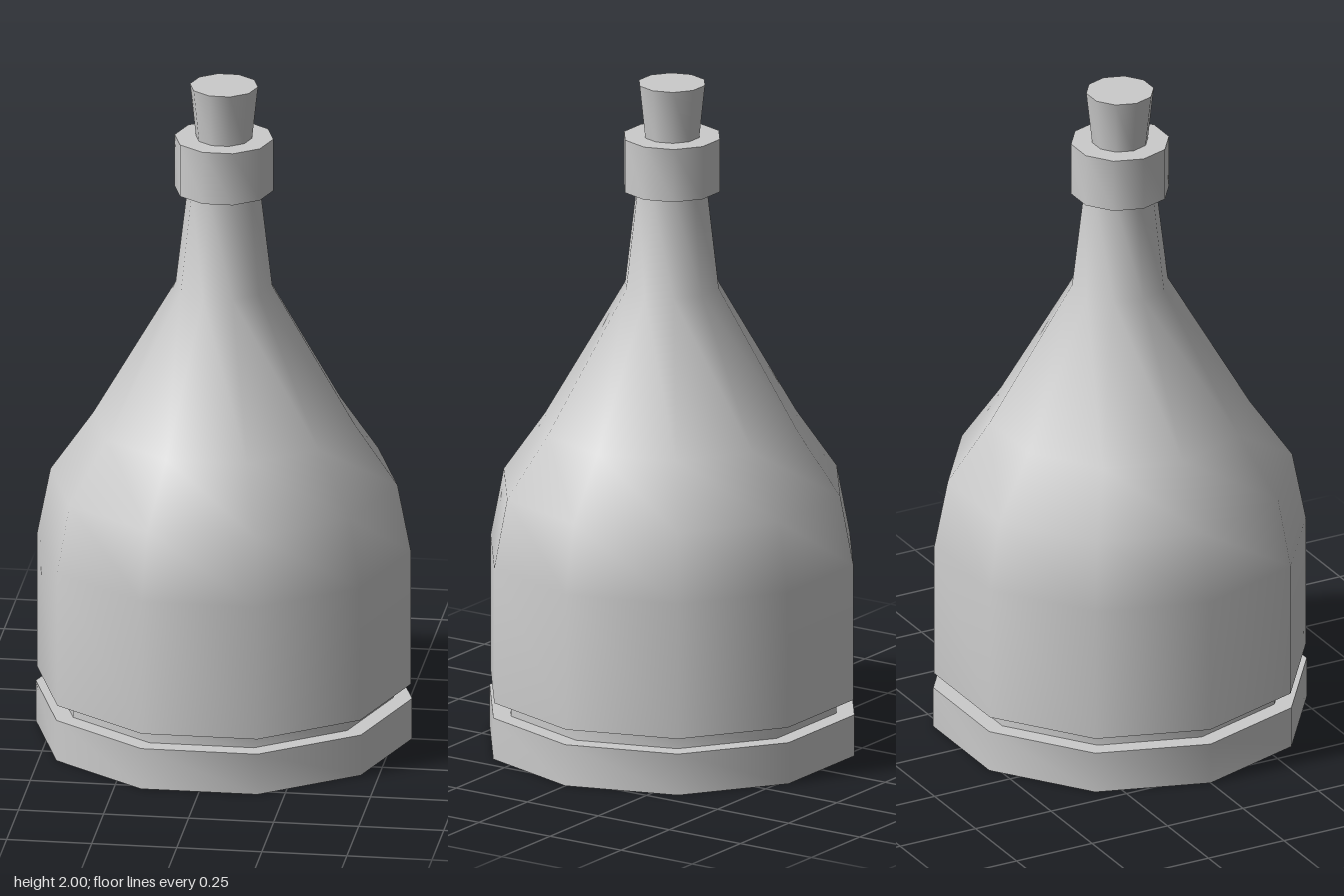
import * as THREE from 'three';
import { toCreasedNormals } from 'three/addons/utils/BufferGeometryUtils.js';

const SIDES = 10;

export function createModel() {
  const group = new THREE.Group();
  const material = new THREE.MeshStandardMaterial({ color: 0xcccccc });

  // Ten-sided turned part from [radius, height] pairs, listed bottom to top;
  // smooth around the sides, sharp at the rims
  function turned(name, profile) {
    const points = profile.map(([r, y]) => new THREE.Vector2(r, y));
    const lathe = new THREE.LatheGeometry(points, SIDES, Math.PI / 2);
    const mesh = new THREE.Mesh(toCreasedNormals(lathe, 0.8), material);
    mesh.name = name;
    group.add(mesh);
  }

  // Solid foot with the narrow groove above it
  turned('base', [[0, 0], [0.553, 0], [0.553, 0.125], [0.49, 0.125]]);
  turned('groove', [[0.498, 0.12], [0.498, 0.175]]);

  // Bottle wall: straight side, shoulder, slope and tapering neck
  turned('body', [
    [0.49, 0.17], [0.55, 0.17], [0.55, 0.58], [0.51, 0.785],
    [0.385, 0.965], [0.142, 1.385], [0.106, 1.69],
  ]);

  // Ring around the mouth
  turned('collar', [[0.08, 1.68], [0.145, 1.68], [0.145, 1.84], [0, 1.84]]);

  // Stopper, widening towards the top
  turned('cork', [[0.082, 1.835], [0.1, 2], [0, 2]]);

  return group;
}
